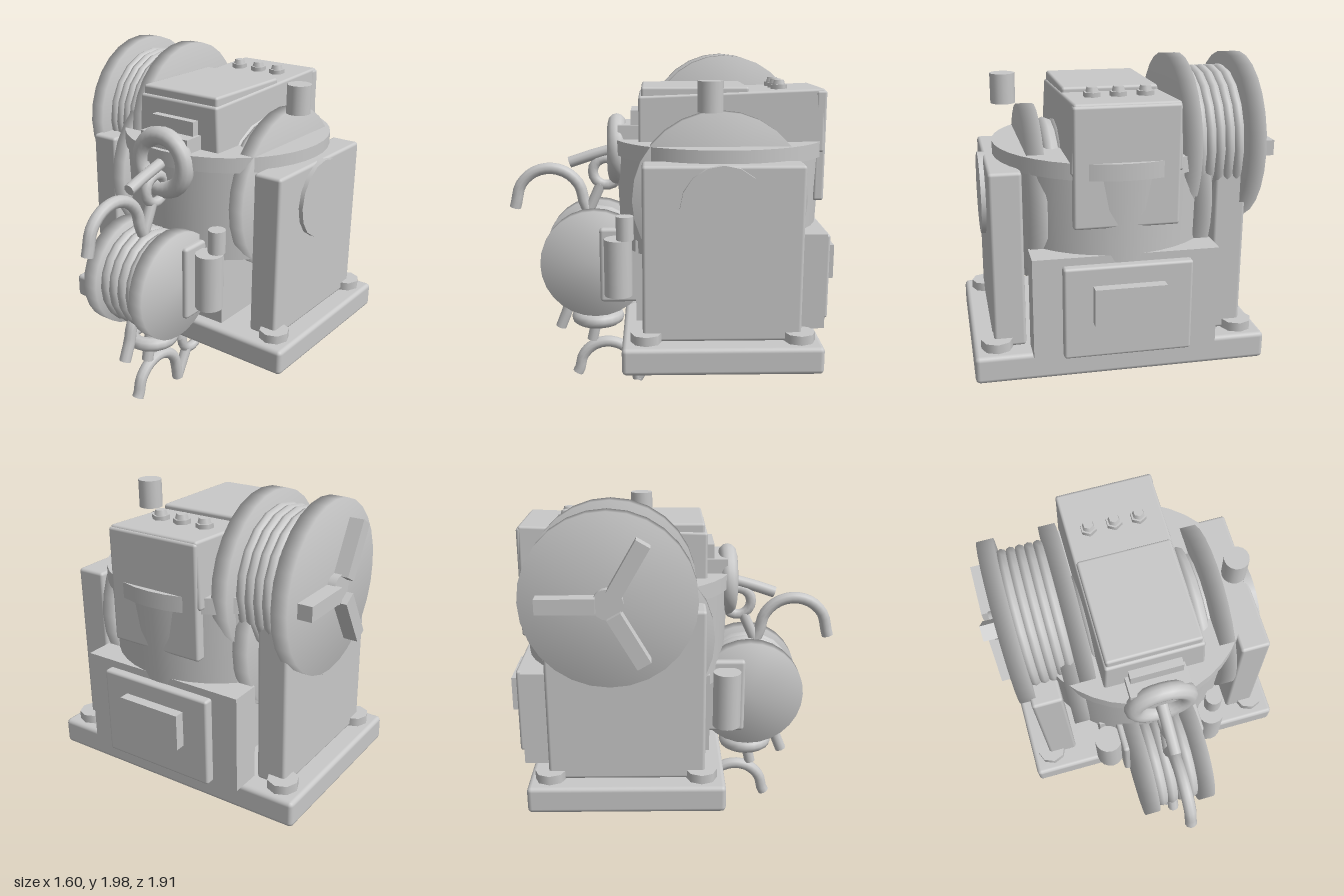
import * as THREE from 'three';
import { RoundedBoxGeometry } from 'three/addons/geometries/RoundedBoxGeometry.js';
import { mergeVertices } from 'three/addons/utils/BufferGeometryUtils.js';

export function createModel() {
  const root = new THREE.Group();
  root.name = 'winchMachine';
  const steel = new THREE.MeshStandardMaterial({ color: 0xc8c8c8 });
  steel.name = 'lightGreySteel';

  const add = (name, geo, x = 0, y = 0, z = 0, parent = root) => {
    const m = new THREE.Mesh(geo, steel);
    m.name = name;
    m.position.set(x, y, z);
    parent.add(m);
    return m;
  };
  // Boxes given by their limits; r is the edge rounding
  const box = (name, x0, x1, y0, y1, z0, z1, r = 0) => {
    const s = [x1 - x0, y1 - y0, z1 - z0];
    const g = r ? new RoundedBoxGeometry(...s, 2, r) : new THREE.BoxGeometry(...s);
    return add(name, g, (x0 + x1) / 2, (y0 + y1) / 2, (z0 + z1) / 2);
  };
  const cyl = (name, r, y0, y1, x, z, n = 16, rTop = r) =>
    add(name, new THREE.CylinderGeometry(rTop, r, y1 - y0, n), x, (y0 + y1) / 2, z);
  const discX = (r, w, n) => new THREE.CylinderGeometry(r, r, w, n).rotateZ(Math.PI / 2);
  // Wheel with softly shaded rims
  const softDisc = (r, w) => {
    const g = discX(r, w, 28);
    g.deleteAttribute('uv');
    g.deleteAttribute('normal');
    const m = mergeVertices(g, 1e-4);
    m.computeVertexNormals();
    return m;
  };
  const tube = (name, pts, r, parent = root, x = 0) => {
    const path = new THREE.CatmullRomCurve3(pts.map(([z, y]) => new THREE.Vector3(x, y, z)));
    const m = add(name, new THREE.TubeGeometry(path, 20, r, 10), 0, 0, 0, parent);
    [0, 1].forEach((t) => {
      const cap = add(name + 'Cap', new THREE.CircleGeometry(r, 10), 0, 0, 0, parent);
      cap.position.copy(path.getPointAt(t));
      const dir = path.getTangentAt(t).multiplyScalar(t ? 1 : -1);
      cap.quaternion.setFromUnitVectors(new THREE.Vector3(0, 0, 1), dir);
    });
    return m;
  };
  // Spool along x: two flanges, a core and rope windings
  const spool = (name, xs, y, z, rFlange, width, rRope, ropeX0, ropeX1, turns) => {
    const g = new THREE.Group();
    g.name = name;
    g.position.set(0, y, z);
    root.add(g);
    xs.forEach((x) => add('flange', softDisc(rFlange, width), x, 0, 0, g));
    const t = (ropeX1 - ropeX0) / turns;
    const tr = t * 0.58;
    add('core', discX(rRope - tr, xs[1] - xs[0], 20), (xs[0] + xs[1]) / 2, 0, 0, g);
    for (let i = 0; i < turns; i++) {
      const ring = new THREE.TorusGeometry(rRope - tr, tr, 8, 20).rotateY(Math.PI / 2);
      add('ropeTurn', ring, ropeX0 + (i + 0.5) * t, 0, 0, g);
    }
    return g;
  };

  // Base plate with feet and underside panel
  box('basePlate', -0.78, 0.79, 0.38, 0.53, -0.8, 0.27, 0.025);
  box('undersidePanel', -0.18, 0.19, 0.365, 0.39, -0.72, -0.32);
  box('undersideRidge', -0.13, 0.14, 0.345, 0.38, -0.515, -0.465);
  for (const s of [-1, 1]) {
    for (const z of [-0.68, 0.14]) cyl('footBolt', 0.085, 0.52, 0.58, 0.005 + s * 0.66, z, 8);
    // Side plates with bearing covers
    const c = 0.005 + s * 0.59;
    box('sidePlate', c - 0.085, c + 0.085, 0.53, 1.48, -0.69, 0.16, 0.018);
    add('bearingCover', discX(0.225, 0.05, 16), 0.005 + s * 0.675, 1.26, -0.26);
    cyl('frontCylinder', 0.08, 0.68, 1.01, 0.01 + s * 0.315, 0.3);
  }
  cyl('valveCap', 0.05, 1.01, 1.145, 0.345, 0.26, 12);

  // Drum housing with top collar
  cyl('drumHousing', 0.57, 0.93, 1.48, 0.01, -0.28, 40, 0.595);
  cyl('collar', 0.61, 1.465, 1.55, 0.015, -0.28, 40);
  box('lowerBody', -0.33, 0.34, 0.52, 1.0, -0.75, 0.2);
  box('frontBlock', -0.24, 0.25, 0.61, 1.05, 0.14, 0.41, 0.02);

  // Rear cabinet
  box('rearCabinet', -0.48, 0.49, 0.53, 1.07, -0.85, -0.68);
  box('rearDoor', -0.33, 0.34, 0.535, 1.03, -0.9, -0.84, 0.015);
  box('rearDoorPlate', -0.18, 0.19, 0.73, 0.93, -0.955, -0.89);

  // Console: flared towards the bottom, its top rising to the back
  const console_ = box('console', -0.26, 0.275, 1.49, 1.8, -0.85, 0.18, 0.015);
  const p = console_.geometry.attributes.position;
  for (let i = 0; i < p.count; i++) {
    if (p.getY(i) > 0) p.setY(i, p.getY(i) + 0.04 * (0.515 - p.getZ(i)) / 1.03);
    else p.setX(i, p.getX(i) * 1.06);
  }
  box('consoleLid', -0.25, 0.265, 1.78, 1.85, -0.43, 0.165, 0.015);
  box('consoleBackPanel', -0.26, 0.28, 1.215, 1.83, -0.86, -0.8, 0.015);
  box('consoleDisplay', -0.14, 0.15, 1.6, 1.71, 0.17, 0.225);
  box('ringBracket', -0.16, 0.17, 1.54, 1.63, 0.17, 0.3);
  for (const x of [-0.135, 0.005, 0.14]) {
    cyl('consoleBolt', 0.046, 1.81, 1.855, x, -0.61, 6);
    cyl('consoleBoltTop', 0.035, 1.855, 1.88, x, -0.61, 6, 0.028);
  }

  // Floating cap beside the console
  cyl('looseCap', 0.067, 1.74, 1.9, 0.55, -0.197);

  // Three rope spools
  spool('mainSpool', [-0.425, 0.435], 1.26, -0.26, 0.475, 0.09, 0.4, -0.36, 0.37, 10);
  spool('frontSpool', [-0.16, 0.175], 0.83, 0.44, 0.315, 0.09, 0.29, -0.115, 0.13, 4);
  const top = spool('upperSpool', [-0.682, -0.345], 1.545, -0.34, 0.455, 0.09, 0.39, -0.64, -0.39, 5);
  add('axle', discX(0.08, 0.6, 16), -0.47, 0, 0, top);
  // Three-armed crank on the upper spool
  for (const a of [Math.PI, Math.PI / 3, -Math.PI / 3]) {
    const arm = new THREE.BoxGeometry(0.08, 0.08, 0.3).translate(0, 0, 0.21).rotateX(-a);
    add('crankArm', arm, -0.767, 0, 0, top);
  }

  // Front ring with its pin
  add('frontRing', new THREE.TorusGeometry(0.155, 0.052, 12, 24), 0.005, 1.475, 0.31);
  tube('ringPin', [[0.59, 1.395], [0.47, 1.435], [0.33, 1.475]], 0.033, root, 0.005);

  // Hooks: bent tube, straight shank and eye, all in the yz plane
  const hook = (name, zc, yc, r, tip, end, eye, eyeR) => {
    const g = new THREE.Group();
    g.name = name;
    root.add(g);
    const pts = [tip];
    for (let i = 0; i <= 6; i++) {
      const a = Math.PI * i / 6;
      pts.push([zc + r * Math.cos(a), yc + r * Math.sin(a)]);
    }
    pts.push(end);
    tube('hookBend', pts, 0.034, g, 0.005);
    if (!eye) return;
    const k = eyeR / Math.hypot(eye[0] - end[0], eye[1] - end[1]);
    const stop = [0, 1].map((i) => eye[i] + (end[i] - eye[i]) * k);
    tube('hookShank', [end, stop], 0.032, g, 0.005);
    add('hookEye', new THREE.TorusGeometry(eyeR, 0.03, 8, 18).rotateY(Math.PI / 2), 0.005, eye[1], eye[0], g);
  };
  hook('upperHook', 0.71, 1.16, 0.2, [0.92, 1.125], [0.485, 1.1], [0.375, 1.34], 0.08);
  hook('lowerHook', 0.385, 0.1, 0.175, [0.573, 0.075], [0.2, 0.03], [0.068, 0.27], 0.083);
  hook('middleHook', 0.43, 0.49, 0.195, [0.67, 0.375], [0.19, 0.31]);
  tube('middleStem', [[0.478, 0.29], [0.455, 0.4], [0.44, 0.55]], 0.034, root, 0.005);
  add('swivelRing', new THREE.TorusGeometry(0.118, 0.042, 10, 20).rotateX(Math.PI / 2), 0.008, 0.447, 0.44);

  return root;
}
